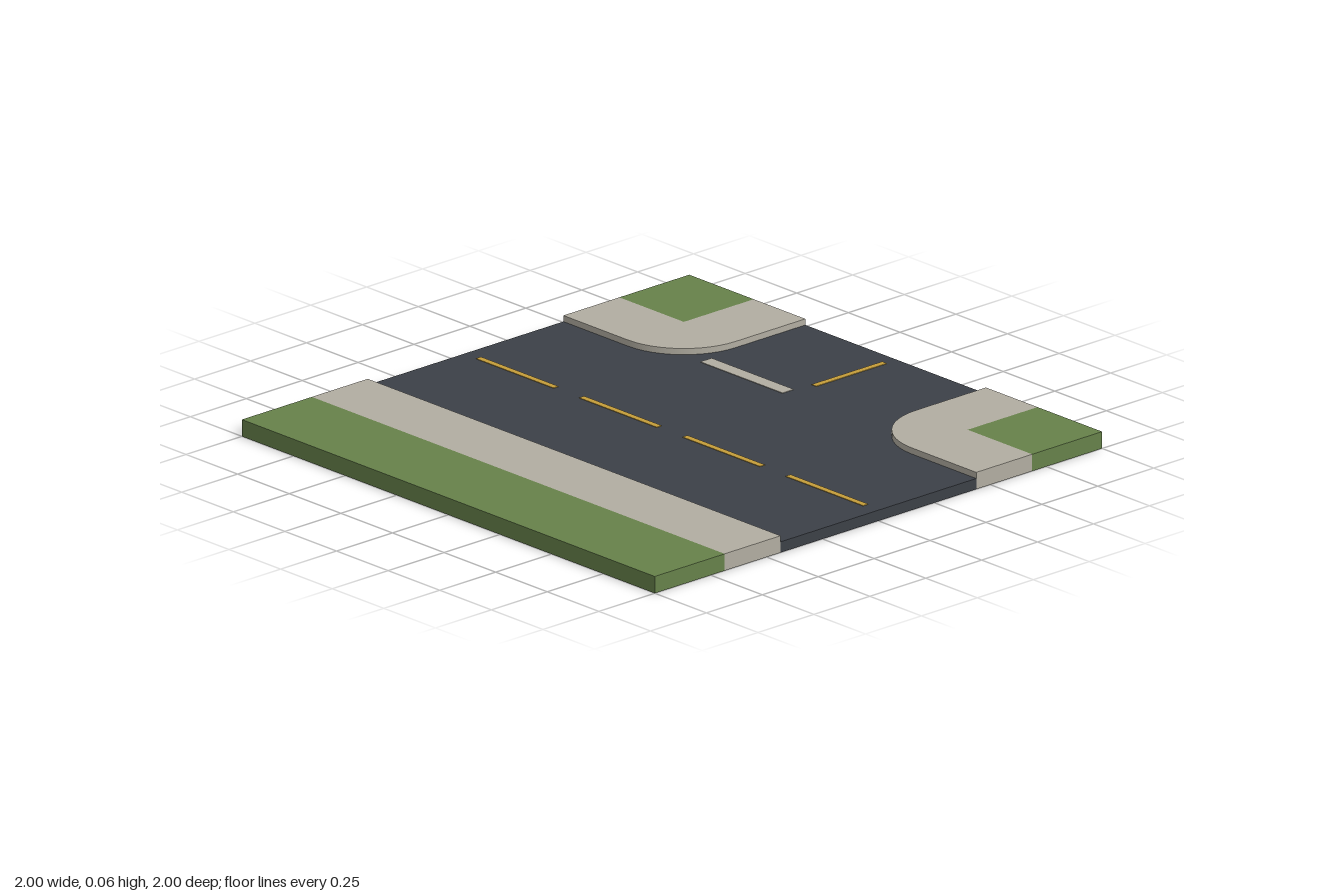
import * as THREE from 'three';

const EDGE = 1, WALK = 0.6875, CURB = 0.4375; // tile edge, grass line, kerb line
const ROAD_Y = 0.0375, TOP_Y = 0.059;
const FACES = ['+x', '-x', '+y', '-y', '+z', '-z'];

export function createModel() {
  const material = (name, color, side = THREE.FrontSide) => {
    const m = new THREE.MeshStandardMaterial({ color, side });
    m.name = name;
    return m;
  };
  const asphalt = material('asphalt', 0x3c4047);
  const paving = material('paving', 0xb1ada1, THREE.DoubleSide);
  const grass = material('grass', 0x66814a, THREE.DoubleSide);
  const yellow = material('yellow paint', 0xc59d3a);

  const model = new THREE.Group();
  model.name = 'roadJunction';

  const add = (name, geometry, mat) => {
    const mesh = new THREE.Mesh(geometry, mat);
    mesh.name = name;
    model.add(mesh);
    return mesh;
  };

  // Box given by its limits, leaving out the listed faces
  const block = (name, mat, [x0, x1], [y0, y1], [z0, z1], skip = []) => {
    const g = new THREE.BoxGeometry(x1 - x0, y1 - y0, z1 - z0);
    const index = Array.from(g.index.array);
    g.setIndex(index.filter((_, i) => !skip.includes(FACES[Math.floor(i / 6)])));
    g.clearGroups();
    g.translate((x0 + x1) / 2, (y0 + y1) / 2, (z0 + z1) / 2);
    return add(name, g, mat);
  };

  // Main road and side road
  const roadY = [0, ROAD_Y], fullY = [0, TOP_Y];
  block('mainRoad', asphalt, [-CURB, CURB], roadY, [-EDGE, EDGE]);
  block('sideRoad', asphalt, [CURB, EDGE], roadY, [-CURB, CURB], ['-x']);

  // Straight verge and sidewalk, hollow underneath
  block('verge', grass, [-EDGE, -WALK], fullY, [-EDGE, EDGE], ['-y', '+x']);
  block('sidewalk', paving, [-WALK, -CURB], fullY, [-EDGE, EDGE], ['-y', '-x', '+x']);
  block('kerb', paving, [-CURB - 0.001, -CURB], [ROAD_Y, TOP_Y], [-EDGE, EDGE], ['-y', '+y', '-x']);

  // Two street corners with rounded kerbs
  for (const s of [-1, 1]) {
    const span = (a, b) => (s > 0 ? [a, b] : [-b, -a]);
    const side = s > 0 ? 'front' : 'back';
    const inward = s > 0 ? '-z' : '+z', outward = s > 0 ? '+z' : '-z';

    block(side + 'CornerGrass', grass, [WALK, EDGE], fullY, span(WALK, EDGE), ['-y']);
    block(side + 'CornerRoadBase', asphalt, [CURB, WALK], roadY, span(CURB, WALK));

    // Sidewalk arms along each road
    block(side + 'MainSidewalk', paving, [CURB, WALK], fullY, span(WALK, EDGE),
      ['-y', '+x', inward]);
    block(side + 'SideSidewalk', paving, [WALK, EDGE], fullY, span(CURB, WALK),
      ['-y', '-x', outward]);

    // Quarter disc at the bend
    const r = WALK - CURB, h = TOP_Y - ROAD_Y;
    const start = s > 0 ? Math.PI : Math.PI * 1.5;
    const bend = new THREE.CylinderGeometry(r, r, h, 12, 1, false, start, Math.PI / 2);
    bend.translate(WALK, ROAD_Y + h / 2, s * WALK);
    add(side + 'SidewalkBend', bend, paving);
  }

  // Painted markings
  const paintY = [ROAD_Y, ROAD_Y + 0.002];
  for (const z of [-0.75, -0.25, 0.25, 0.75]) {
    block('centreDash', yellow, [-0.011, 0.011], paintY, [z - 0.1875, z + 0.1875], ['-y']);
  }
  block('sideRoadDash', yellow, [0.635, 0.95], paintY, [-0.011, 0.011], ['-y']);
  block('stopLine', paving, [0.51, 0.56], paintY, [-0.415, 0.02 - 0.0375], ['-y']);

  return model;
}
